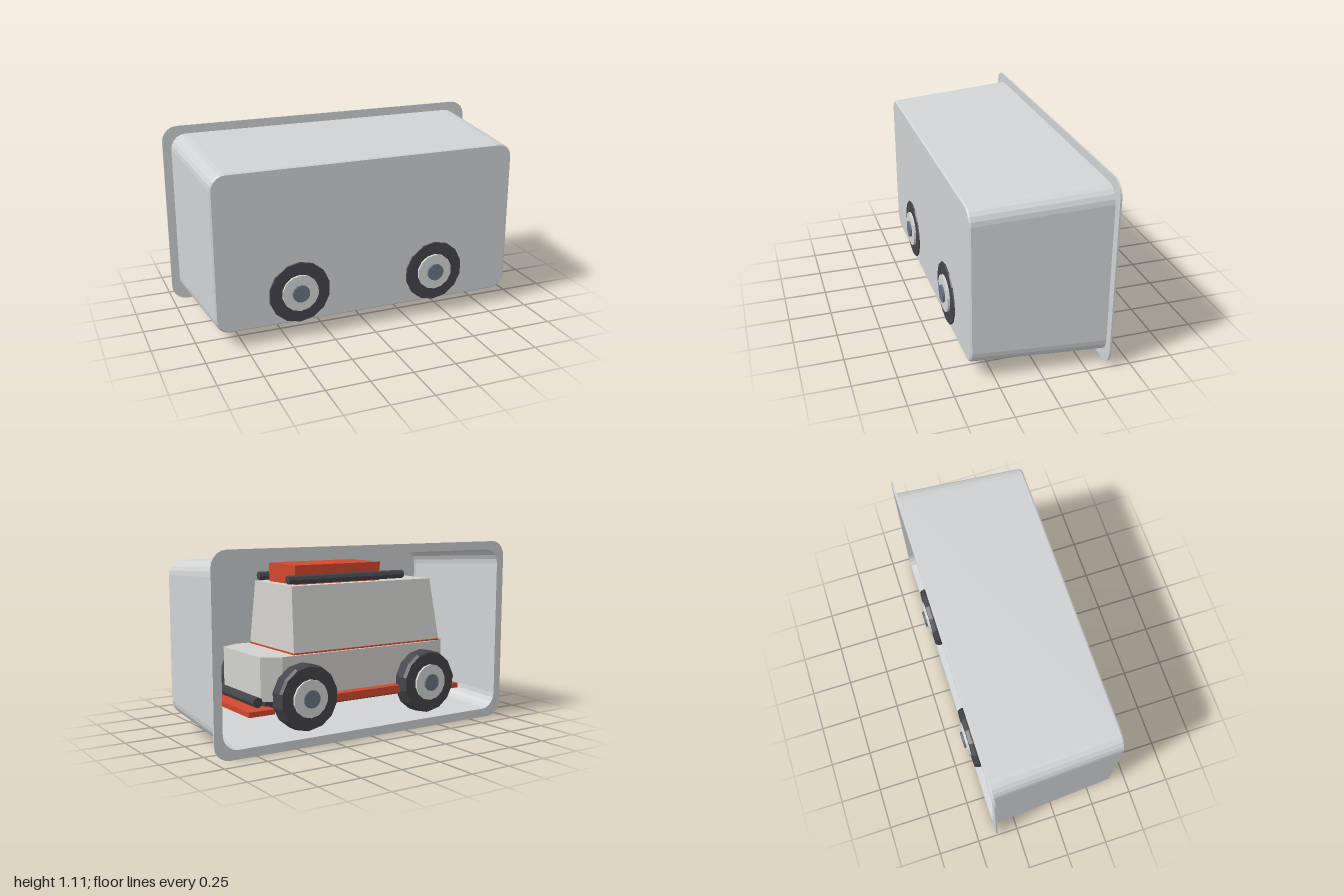
import * as THREE from 'three';
import { ConvexGeometry } from 'three/addons/geometries/ConvexGeometry.js';

const mat = (name, color, side = THREE.FrontSide) => {
  const m = new THREE.MeshStandardMaterial({ color, side });
  m.name = name;
  return m;
};

// Faceted copy of a geometry
const flat = (g) => {
  const f = g.index ? g.toNonIndexed() : g;
  f.computeVertexNormals();
  return f;
};

// Outline of a rounded rectangle, half width w, from y0 to y1
function roundRect(w, y0, y1, r, seg = 5) {
  const pts = [];
  const corners = [[w - r, y1 - r], [-w + r, y1 - r], [-w + r, y0 + r], [w - r, y0 + r]];
  corners.forEach(([cx, cy], q) => {
    for (let i = 0; i <= seg; i++) {
      const a = (q + i / seg) * Math.PI / 2;
      pts.push(new THREE.Vector2(cx + r * Math.cos(a), cy + r * Math.sin(a)));
    }
  });
  return pts;
}

// Skin through outlines placed at different z
function loft(rings) {
  const n = rings[0].pts.length, pos = [], idx = [];
  rings.forEach(({ pts, z }) => pts.forEach((p) => pos.push(p.x, p.y, z)));
  for (let k = 0; k < rings.length - 1; k++) {
    for (let i = 0; i < n; i++) {
      const a = k * n + i, b = k * n + (i + 1) % n;
      idx.push(a, b, b + n, a, b + n, a + n);
    }
  }
  const g = new THREE.BufferGeometry();
  g.setAttribute('position', new THREE.Float32BufferAttribute(pos, 3));
  g.setIndex(idx);
  return flat(g);
}

export function createModel() {
  const model = new THREE.Group();
  model.name = 'packagedTruck';
  const shell = mat('trayGrey', 0xd0d2d4, THREE.DoubleSide);
  const paint = mat('bodyGrey', 0xd2d1ce);
  const red = mat('trimRed', 0xd2492e);
  const black = mat('rubberBlack', 0x45444a);
  const silver = mat('hubSilver', 0xd4d6d6);
  const steel = mat('capSteel', 0x6a7482);

  const add = (parent, name, geo, material, x = 0, y = 0, z = 0) => {
    const m = new THREE.Mesh(geo, material);
    m.name = name;
    m.position.set(x, y, z);
    parent.add(m);
    return m;
  };
  const box = (name, material, [x0, x1], [y0, y1], [z0, z1]) =>
    add(model, name, new THREE.BoxGeometry(x1 - x0, y1 - y0, z1 - z0), material,
      (x0 + x1) / 2, (y0 + y1) / 2, (z0 + z1) / 2);

  // Tapered tray, open at the back
  const face = roundRect(0.9, 0.102, 1.004, 0.08);
  add(model, 'trayWalls', loft([
    { pts: roundRect(0.95, 0.052, 1.055, 0.09), z: -0.38 },
    { pts: roundRect(0.909, 0.094, 1.01, 0.085), z: 0.375 },
    { pts: face, z: 0.384 },
  ]), shell);
  add(model, 'trayFace', new THREE.ShapeGeometry(new THREE.Shape(face)), shell, 0, 0, 0.384);

  // Flange around the opening
  const rim = new THREE.Shape(roundRect(1, 0, 1.105, 0.09));
  rim.holes.push(new THREE.Path(roundRect(0.95, 0.052, 1.055, 0.09)));
  add(model, 'trayFlange', new THREE.ExtrudeGeometry(rim, { depth: 0.01, bevelEnabled: false }),
    shell, 0, 0, -0.385);

  // Lower body with chamfered corners
  const body = [];
  for (const sx of [-1, 1]) for (const sz of [-1, 1]) for (const y of [0.25, 0.5]) {
    body.push(new THREE.Vector3(sx * 0.64, y, sz * 0.225));
    body.push(new THREE.Vector3(sx * 0.53, y, sz * 0.28));
  }
  add(model, 'lowerBody', flat(new ConvexGeometry(body)), paint);

  // Tapered cabin on a thin red belt
  const cabin = [];
  for (const sz of [-1, 1]) {
    for (const x of [-0.59, 0.445]) cabin.push(new THREE.Vector3(x, 0.51, sz * 0.26));
    for (const x of [-0.55, 0.43]) cabin.push(new THREE.Vector3(x, 0.88, sz * 0.215));
  }
  add(model, 'cabin', flat(new ConvexGeometry(cabin)), paint);
  box('beltTrim', red, [-0.592, 0.447], [0.5, 0.508], [-0.262, 0.262]);

  // Chassis and roof load
  box('chassis', black, [-0.6, 0.6], [0.18, 0.25], [-0.2, 0.2]);
  box('roofBox', red, [-0.22, 0.37], [0.88, 0.99], [-0.15, 0.15]);

  // Sills and roof rails on both sides
  const rod = (r, len) => flat(new THREE.CylinderGeometry(r, r, len, 8));
  for (const s of [-1, 1]) {
    add(model, 'sill', new THREE.BoxGeometry(0.86, 0.045, 0.07), red, 0, 0.245, s * 0.305);
    add(model, 'roofRail', rod(0.025, 0.8), black, 0.03, 0.912, s * 0.17).rotation.z = Math.PI / 2;
  }

  // Bumper bars and skid plates at both ends
  for (const s of [-1, 1]) {
    add(model, 'skidPlate', new THREE.BoxGeometry(0.16, 0.03, 0.56), red, s * 0.66, 0.2, 0);
    add(model, 'bumperBar', rod(0.03, 0.54), black, s * 0.68, 0.26, 0).rotation.x = Math.PI / 2;
  }

  // Wheels, built facing +z and turned for the far side
  const profile = [[0.06, 0.275], [0.165, 0.275], [0.189, 0.3], [0.189, 0.37], [0.18, 0.391], [0.06, 0.391]]
    .map(([r, y]) => new THREE.Vector2(r, y));
  const disc = (r, z0, z1, n) => flat(new THREE.CylinderGeometry(r, r, z1 - z0, n).translate(0, (z0 + z1) / 2, 0));
  const parts = [
    ['tyre', flat(new THREE.LatheGeometry(profile, 14)), black],
    ['hub', disc(0.108, 0.38, 0.405, 14), silver],
    ['hubCap', disc(0.051, 0.4, 0.417, 14), steel],
  ];
  for (const x of [-0.42, 0.42]) {
    add(model, 'axle', rod(0.04, 0.76), black, x, 0.275, 0).rotation.x = Math.PI / 2;
    for (const turn of [0, Math.PI]) {
      const wheel = new THREE.Group();
      wheel.name = 'wheel';
      wheel.position.set(x, 0.275, 0);
      wheel.rotation.y = turn;
      parts.forEach(([name, geo, m]) => { add(wheel, name, geo, m).rotation.x = Math.PI / 2; });
      model.add(wheel);
    }
  }
  return model;
}
